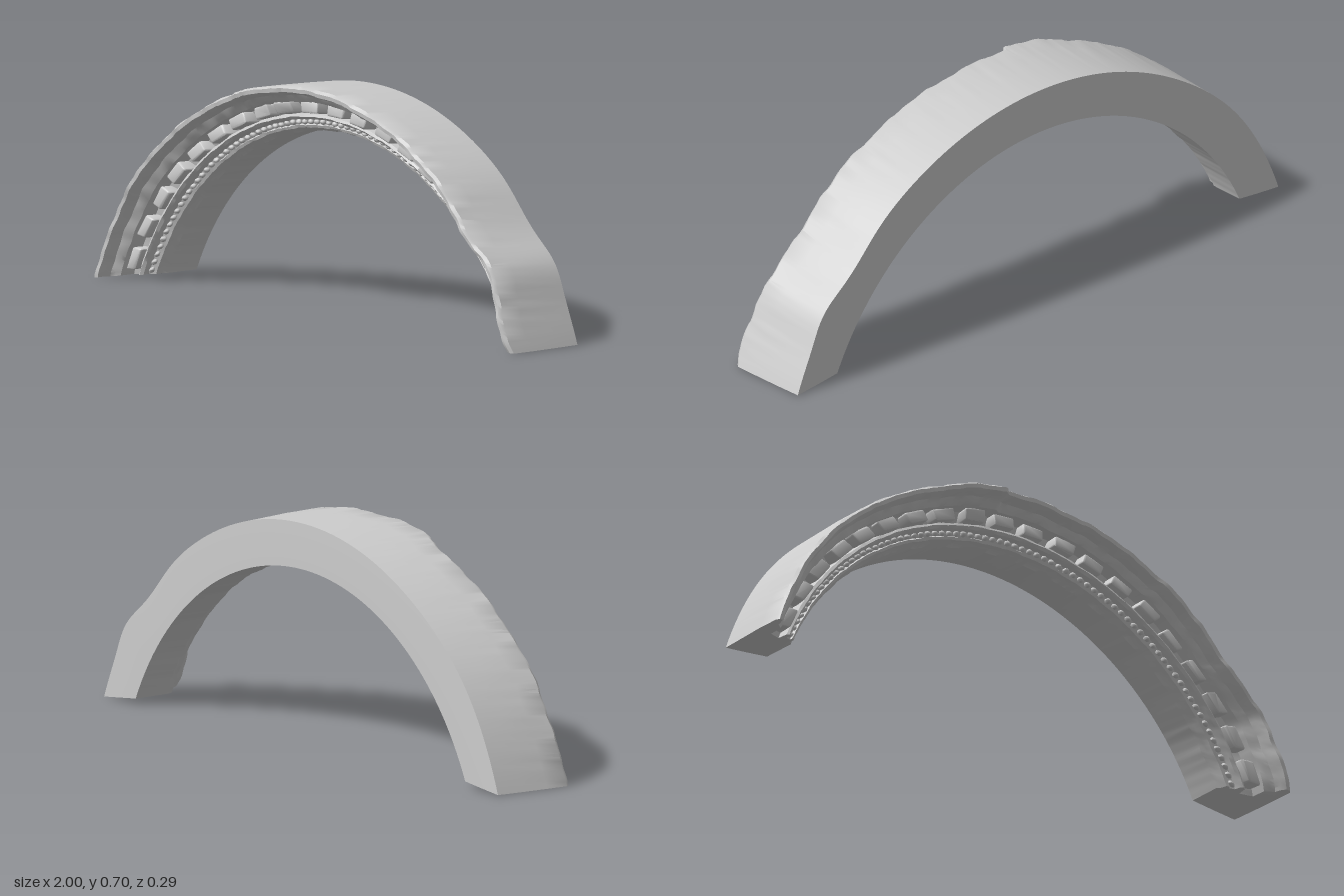
import * as THREE from 'three';
import { toCreasedNormals } from 'three/addons/utils/BufferGeometryUtils.js';
import { RoundedBoxGeometry } from 'three/addons/geometries/RoundedBoxGeometry.js';

const R_OUT = 1.064;      // outer radius of the arch
const CENTRE_Y = -0.364;  // arch centre lies below the springing line
const LENGTH = 2.35;      // unrolled length of the arch

const bump = (v, c, w) => Math.exp(-(((v - c) / w) ** 2));
const ragged = (s) => 0.4 * Math.sin(s * 23) + 0.35 * Math.sin(s * 41 + 1.3) + 0.25 * Math.sin(s * 87 + 0.5);

// Bends a geometry laid out as (radius, depth, distance along arch) into the arch.
function bend(geometry) {
  const pos = geometry.attributes.position;
  for (let i = 0; i < pos.count; i++) {
    let r = pos.getX(i);
    let z = pos.getY(i);
    const s = pos.getZ(i);
    const t = s / LENGTH;
    // horizontal cut at both feet
    const foot = (r0) => Math.asin((-CENTRE_Y + 0.13 * (R_OUT - r0)) / r0);
    const a0 = foot(r);
    const angle = Math.PI - a0 - t * (Math.PI - 2 * a0);
    const outer = THREE.MathUtils.smoothstep(r, 0.96, 1.05);
    // weathered front edge, with a projecting broken piece left of the crown
    if (z > -0.05) {
      const broken = THREE.MathUtils.smoothstep(t, 0.36, 0.41) * (1 - THREE.MathUtils.smoothstep(t, 0.452, 0.462));
      z += outer * (0.006 * ragged(s) + 0.026 * broken + 0.015 * bump(t, 0.97, 0.04));
      r += 0.002 * ragged(s * 1.7 + z * 9);
    }
    // uneven outer surface and the kink above the right foot
    r += outer * (0.016 * bump(t, 0.9, 0.035) - 0.014 * bump(t, 0.83, 0.05) + 0.01 * bump(t, 0.14, 0.1));
    pos.setXYZ(i, r * Math.cos(angle), CENTRE_Y + r * Math.sin(angle), z);
  }
  return geometry;
}

export function createModel() {
  const model = new THREE.Group();
  model.name = 'carvedArch';
  const material = new THREE.MeshStandardMaterial({ color: 0xcccccc, roughness: 0.9 });
  const add = (parent, name, geometry) => {
    const mesh = new THREE.Mesh(geometry, material);
    mesh.name = name;
    parent.add(mesh);
  };

  // Moulded arch body: plain back and top, stepped front sloping towards the inner edge
  const profile = [
    [0.914, -0.15], [0.985, -0.15], [1.056, -0.148], [1.06, -0.06], [1.063, 0.03], [1.064, 0.105],
    [1.058, 0.115], [1.046, 0.113], [1.038, 0.095], [1.034, 0.075], [1.022, 0.066], [1.012, 0.056],
    [1.009, 0.005], [0.974, -0.01], [0.97, 0.025], [0.962, 0.03], [0.955, 0.022],
    [0.952, 0.002], [0.938, -0.006], [0.934, 0.002], [0.926, -0.002], [0.922, -0.022], [0.914, -0.035],
  ].map(([r, z]) => new THREE.Vector2(r, z));
  const body = new THREE.ExtrudeGeometry(new THREE.Shape(profile), {
    depth: LENGTH, steps: 200, bevelEnabled: false,
  });
  add(model, 'archBody', toCreasedNormals(bend(body), 0.6));

  // Row of dentil blocks standing in the recess
  const dentils = new THREE.Group();
  dentils.name = 'dentils';
  const dentilCount = 20;
  for (let i = 0; i < dentilCount; i++) {
    const block = new RoundedBoxGeometry(0.038, 0.07, 0.077, 2, 0.007);
    block.rotateZ(-0.1);
    block.translate(0.991, 0.008 + 0.004 * Math.sin(i * 2.4), ((i + 0.5) / dentilCount) * LENGTH);
    add(dentils, 'dentil', toCreasedNormals(bend(block), 0.6));
  }
  model.add(dentils);

  // String of small beads along the inner moulding
  const beads = new THREE.Group();
  beads.name = 'beads';
  const beadCount = 76;
  for (let i = 0; i < beadCount; i++) {
    const bead = new THREE.SphereGeometry(0.009, 8, 6);
    bead.scale(1, 1, 1.35);
    bead.translate(0.945, 0.001, ((i + 0.5) / beadCount) * LENGTH);
    bend(bead).computeVertexNormals();
    add(beads, 'bead', bead);
  }
  model.add(beads);

  return model;
}
